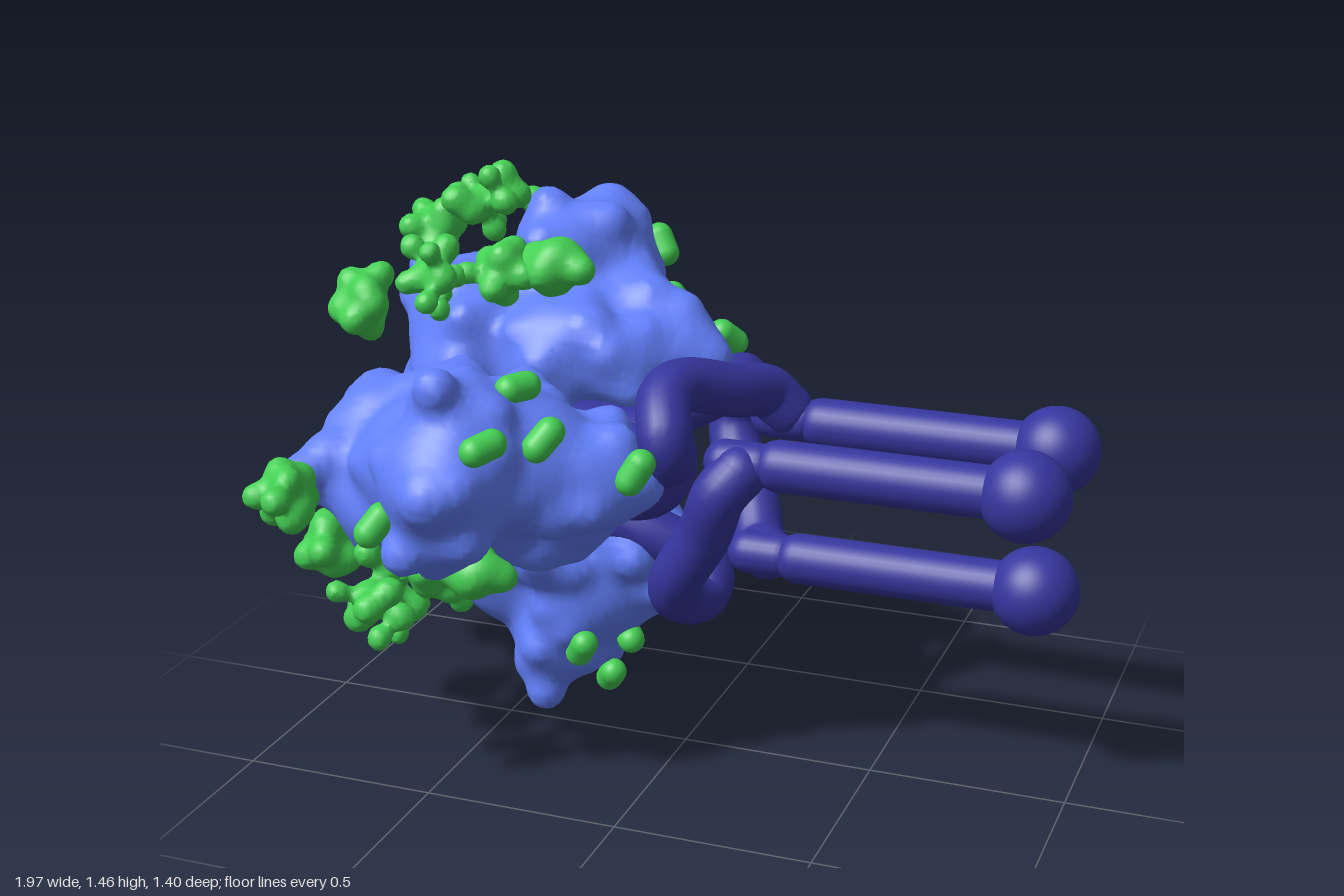
import * as THREE from 'three';

const BLUE = new THREE.MeshStandardMaterial({ color: 0x6482ff });
const GREEN = new THREE.MeshStandardMaterial({ color: 0x44d054 });
const NAVY = new THREE.MeshStandardMaterial({ color: 0x36369f });

function seeded(seed) {
  let s = seed;
  return () => (s = (s * 16807) % 2147483647) / 2147483647;
}

// Smooth skin over blobs [x, y, z, radius], meshed on a regular grid
function blobSurface(blobs, step, sharp) {
  const field = (x, y, z) => {
    let sum = 1e-30;
    for (const [a, b, c, r] of blobs) sum += Math.exp(-sharp * (Math.hypot(x - a, y - b, z - c) - r));
    return -Math.log(sum) / sharp;
  };
  const lo = [0, 1, 2].map((i) => Math.min(...blobs.map((b) => b[i] - b[3])) - 0.05);
  const n = [0, 1, 2].map((i) => Math.ceil((Math.max(...blobs.map((b) => b[i] + b[3])) + 0.05 - lo[i]) / step) + 1);
  const stride = [1, n[0], n[0] * n[1]];
  const val = new Float32Array(n[0] * n[1] * n[2]);
  const each = (from, cut, fn) => {
    for (let k = from; k < n[2] - cut; k++)
      for (let j = from; j < n[1] - cut; j++)
        for (let i = from; i < n[0] - cut; i++) fn([i, j, k], i + j * stride[1] + k * stride[2]);
  };
  each(0, 0, (p, id) => { val[id] = field(...p.map((q, a) => lo[a] + q * step)); });

  // One vertex in each cell the surface crosses
  const pos = [], index = [], cell = new Map();
  each(0, 1, (p, id) => {
    const sum = [0, 0, 0];
    let count = 0;
    for (let c = 0; c < 8; c++)
      for (let a = 0; a < 3; a++) {
        if (c & (1 << a)) continue;
        const o = [c & 1, (c >> 1) & 1, (c >> 2) & 1];
        const i0 = id + o[0] + o[1] * stride[1] + o[2] * stride[2];
        const v0 = val[i0], v1 = val[i0 + stride[a]];
        if (v0 < 0 === v1 < 0) continue;
        o[a] = v0 / (v0 - v1);
        for (let d = 0; d < 3; d++) sum[d] += o[d];
        count++;
      }
    if (!count) return;
    cell.set(id, pos.length / 3);
    for (let d = 0; d < 3; d++) pos.push(lo[d] + (p[d] + sum[d] / count) * step);
  });
  // One quad around each grid edge the surface crosses
  each(1, 1, (p, id) => {
    for (let a = 0; a < 3; a++) {
      const inside = val[id] < 0;
      if (inside === val[id + stride[a]] < 0) continue;
      const b = stride[(a + 1) % 3], c = stride[(a + 2) % 3];
      const q = [id - b - c, id - c, id, id - b].map((i) => cell.get(i));
      if (!inside) q.reverse();
      index.push(q[0], q[1], q[2], q[0], q[2], q[3]);
    }
  });
  const geo = new THREE.BufferGeometry();
  geo.setAttribute('position', new THREE.Float32BufferAttribute(pos, 3));
  geo.setIndex(index);
  geo.computeVertexNormals();
  return geo;
}

// Evenly spread directions with a little jitter
function directions(count, rnd) {
  return Array.from({ length: count }, (_, i) => {
    const a = i * 2.4 + rnd() * 1.5, c = 1 - (2 * (i + 0.5)) / count, s = Math.sqrt(1 - c * c);
    return [s * Math.cos(a), c, s * Math.sin(a)];
  });
}

// Chunky clump of merged beads filling an ellipsoid
function clump([x, y, z, sx, sy, sz], seed) {
  const rnd = seeded(seed * 7919 + 13);
  const beads = [[x, y, z, 0.036]];
  for (const [a, b, c] of directions(9, rnd)) {
    const d = 0.5 + 0.35 * rnd();
    beads.push([x + sx * d * a, y + sy * d * b, z + sz * d * c, 0.026 + 0.009 * rnd()]);
  }
  return blobSurface(beads, 0.0125, 60);
}

// Lobe coordinates: x along the axis, y outward, z around the axis
const LOBE = [
  [-0.42, 0.55, 0, 0.17], [-0.4, 0.54, -0.14, 0.1], [-0.45, 0.5, 0.13, 0.11],
  [-0.55, 0.39, 0, 0.17], [-0.3, 0.38, -0.03, 0.17], [-0.13, 0.32, 0, 0.12],
  [-0.03, 0.3, 0, 0.06], [-0.7, 0.29, 0.07, 0.14], [-0.62, 0.25, 0.17, 0.09],
  [-0.82, 0.4, 0.02, 0.065], [-0.86, 0.47, 0.06, 0.05], [-0.4, 0.25, 0.13, 0.12],
  [-0.75, 0.27, -0.07, 0.1], [-0.4, 0.7, 0.03, 0.065], [-0.42, 0.65, -0.22, 0.05],
  [-0.5, 0.61, 0.19, 0.05], [-0.34, 0.6, 0.14, 0.05], [-0.3, 0.26, 0.19, 0.07],
  [-0.35, 0.42, -0.12, 0.09], [-0.2, 0.42, 0.08, 0.06], [-0.7, 0.36, 0.14, 0.09],
  [-0.66, 0.15, 0.08, 0.13], [-0.42, 0.17, 0.1, 0.11], [-0.78, 0.17, -0.05, 0.1],
  [-0.58, 0.2, -0.11, 0.12], [-0.38, 0.24, -0.13, 0.09], [-0.22, 0.22, 0.1, 0.1],
  [-0.18, 0.21, -0.05, 0.09], [-0.84, 0.36, 0.1, 0.05],
];
const CLUMPS = [
  [-0.86, 0.57, 0.09, 0.12, 0.13, 0.11], [-0.9, 0.24, 0.27, 0.1, 0.12, 0.11],
  [-0.62, 0.54, 0.32, 0.12, 0.12, 0.13], [-0.68, 0.29, 0.37, 0.11, 0.13, 0.14],
  [-0.56, 0.38, 0.25, 0.14, 0.11, 0.09], [-0.42, 0.41, 0.25, 0.12, 0.07, 0.06],
];
// Lone beads: x, y, z, then tilt
const BEADS = [
  [-0.28, 0.67, -0.1, 0.4], [-0.56, 0.64, 0.12, 1.2], [-0.01, 0.39, -0.04, 1.5],
  [-0.2, 0.51, -0.11, 1.1], [-0.29, 0.47, -0.22, 0.2],
];

function createModel() {
  const model = new THREE.Group();
  model.name = 'trimer';
  const add = (parent, name, geo, mat, x = 0, y = 0, z = 0) => {
    const m = new THREE.Mesh(geo, mat);
    m.name = name;
    m.position.set(x, y, z);
    parent.add(m);
    return m;
  };

  // Knobs scattered over the lobe masses
  const rnd = seeded(4711);
  const knobs = LOBE.filter((b) => b[3] > 0.085).flatMap(([x, y, z, r]) =>
    directions(6, rnd).map(([a, b, c]) => [x + a * r * 0.95, y + b * r * 0.95, z + c * r * 0.95, 0.028 + 0.014 * rnd()]));
  const lobeGeo = blobSurface([...LOBE, ...knobs], 0.02, 52);
  const clumpGeos = CLUMPS.map((c, i) => clump(c, i + 1));
  const beadGeo = new THREE.CapsuleGeometry(0.036, 0.05, 8, 16);
  const path = [
    [0.19, 0.13, -0.17], [0.15, 0.18, -0.14], [0.1, 0.215, -0.02], [0.015, 0.26, 0.12],
    [0.0, 0.25, 0.2], [0.03, 0.18, 0.28], [0.03, 0.12, 0.26], [-0.14, 0.09, 0.15], [-0.48, 0.08, 0.06],
  ].map((p) => new THREE.Vector3(...p));
  const collarGeo = new THREE.TubeGeometry(new THREE.CatmullRomCurve3(path), 90, 0.068, 20);
  const rodGeo = new THREE.CapsuleGeometry(0.064, 0.55, 10, 28).rotateZ(Math.PI / 2);
  const neckGeo = new THREE.CapsuleGeometry(0.056, 0.08, 8, 24).rotateZ(Math.PI / 2);
  const ballGeo = new THREE.SphereGeometry(0.11, 36, 24);
  const jointGeo = new THREE.SphereGeometry(0.068, 24, 16);

  for (let k = 0; k < 3; k++) {
    const unit = new THREE.Group();
    unit.name = 'unit' + (k + 1);
    unit.position.set(0, 0.753, -0.057);
    unit.rotation.x = (k * Math.PI * 2) / 3;
    model.add(unit);

    // Stalk, ball end and collar strand
    add(unit, 'stalk', rodGeo, NAVY, 0.56, 0.1, -0.177);
    add(unit, 'stalkBall', ballGeo, NAVY, 0.885, 0.1, -0.177);
    add(unit, 'stalkNeck', neckGeo, NAVY, 0.19, 0.105, -0.175);
    add(unit, 'collarStrand', collarGeo, NAVY);
    add(unit, 'strandEnd', jointGeo, NAVY, ...path[0].toArray());
    add(unit, 'strandTail', jointGeo, NAVY, ...path[path.length - 1].toArray());

    // Lobe with its clumps and beads
    const lobe = new THREE.Group();
    lobe.name = 'lobeGroup';
    lobe.rotation.x = THREE.MathUtils.degToRad(-41.6);
    unit.add(lobe);
    add(lobe, 'lobe', lobeGeo, BLUE);
    clumpGeos.forEach((g) => add(lobe, 'sideClump', g, GREEN));
    BEADS.forEach(([x, y, z, tilt]) => {
      const bead = add(lobe, 'surfaceBead', beadGeo, GREEN, x, y, z);
      bead.rotation.set(tilt, 0, 0.5);
    });
  }

  // Inner core along the axis
  const core = new THREE.CapsuleGeometry(0.15, 0.3, 10, 28).rotateZ(Math.PI / 2);
  add(model, 'core', core, NAVY, -0.3, 0.753, -0.057);
  return model;
}

export { createModel };
